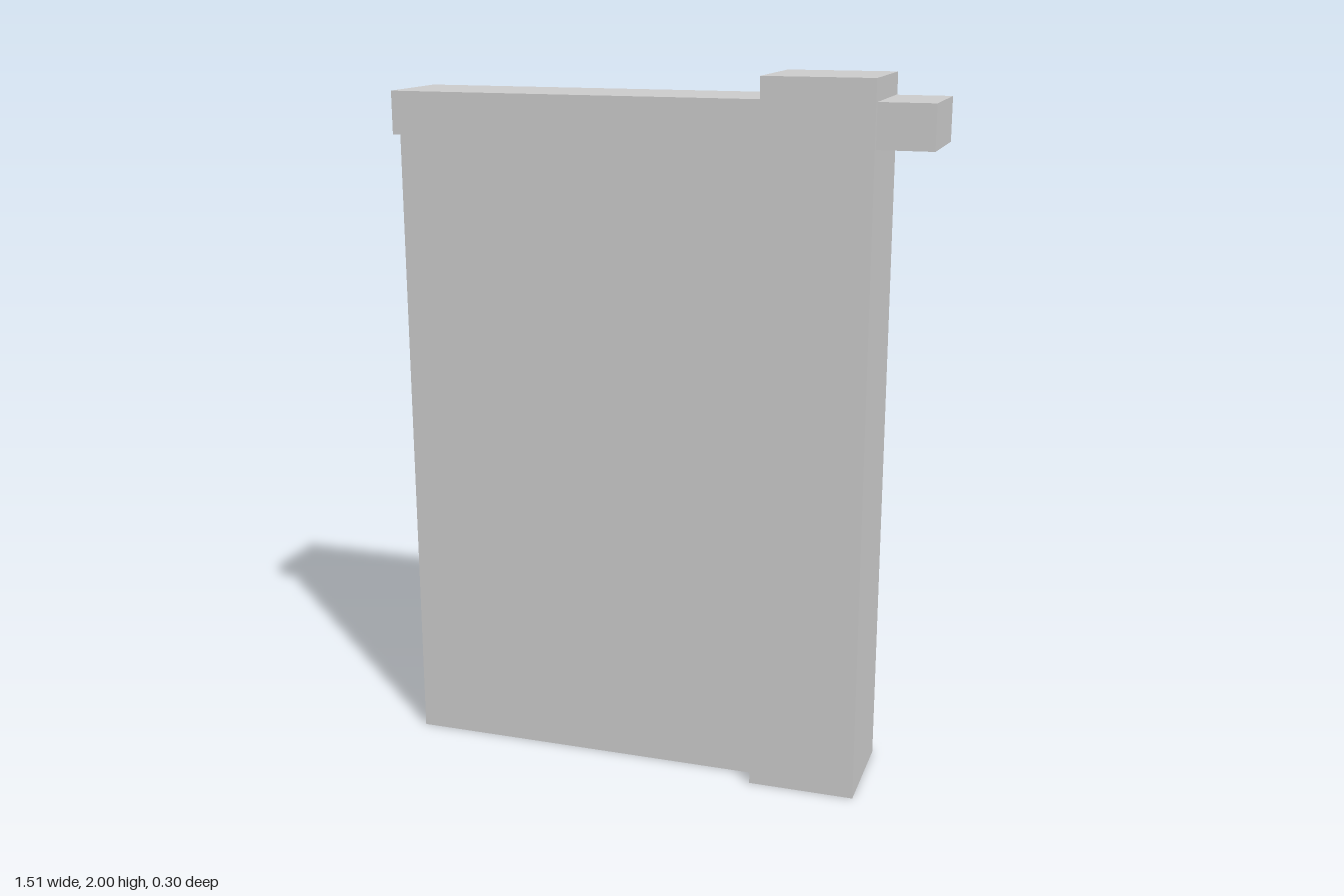
import * as THREE from 'three';

const material = new THREE.MeshStandardMaterial({ color: 0xcccccc, flatShading: true });

// Box spanning x0..x1 and y0..y1, centred on z = 0
function block(name, x0, x1, y0, y1, depth) {
  const mesh = new THREE.Mesh(new THREE.BoxGeometry(x1 - x0, y1 - y0, depth), material);
  mesh.name = name;
  mesh.position.set((x0 + x1) / 2, (y0 + y1) / 2, 0);
  return mesh;
}

export function createModel() {
  const group = new THREE.Group();
  group.name = 'wallSection';
  group.add(
    // Thin panel running from the free end into the post
    block('wallPanel', -0.755, 0.35, 0, 1.83, 0.18),
    // Capping beam that passes through the post and sticks out beyond it
    block('topBeam', -0.755, 0.755, 1.82, 1.94, 0.27),
    // Upright post, thicker and taller than the rest
    block('post', 0.302, 0.604, 0, 2, 0.302),
  );
  return group;
}
